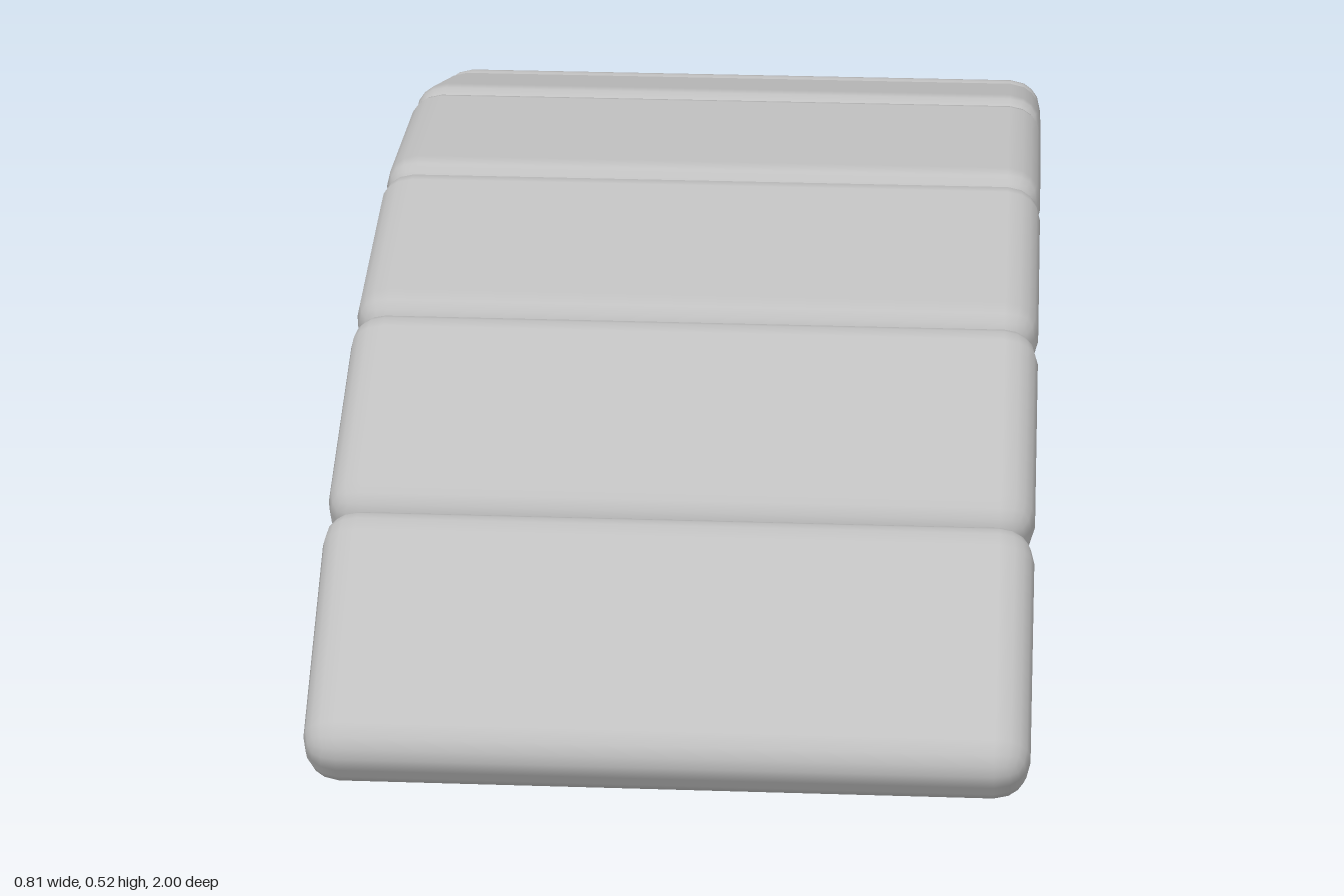
import * as THREE from 'three';
import { RoundedBoxGeometry } from 'three/addons/geometries/RoundedBoxGeometry.js';

export function createModel() {
  const model = new THREE.Group();
  model.name = 'archedPlankBridge';

  const grey = new THREE.MeshStandardMaterial({ color: 0xc0c0c0 });
  grey.name = 'plain grey';

  // One rounded plank, shared by every step of the arch
  const plankGeometry = new RoundedBoxGeometry(0.81, 0.095, 0.325, 2, 0.04);

  // Planks from front to back: z, y, tilt in degrees
  const planks = [
    [0.857, 0.202, 36],
    [0.589, 0.352, 23.5],
    [0.294, 0.441, 11.5],
    [-0.013, 0.464, -2],
    [-0.317, 0.418, -16],
    [-0.609, 0.308, -28.5],
    [-0.861, 0.125, -40],
  ];

  planks.forEach(([z, y, tilt], i) => {
    const plank = new THREE.Mesh(plankGeometry, grey);
    plank.name = `plank${i + 1}`;
    plank.position.set(0, y, z);
    plank.rotation.x = THREE.MathUtils.degToRad(tilt);
    model.add(plank);
  });

  return model;
}
